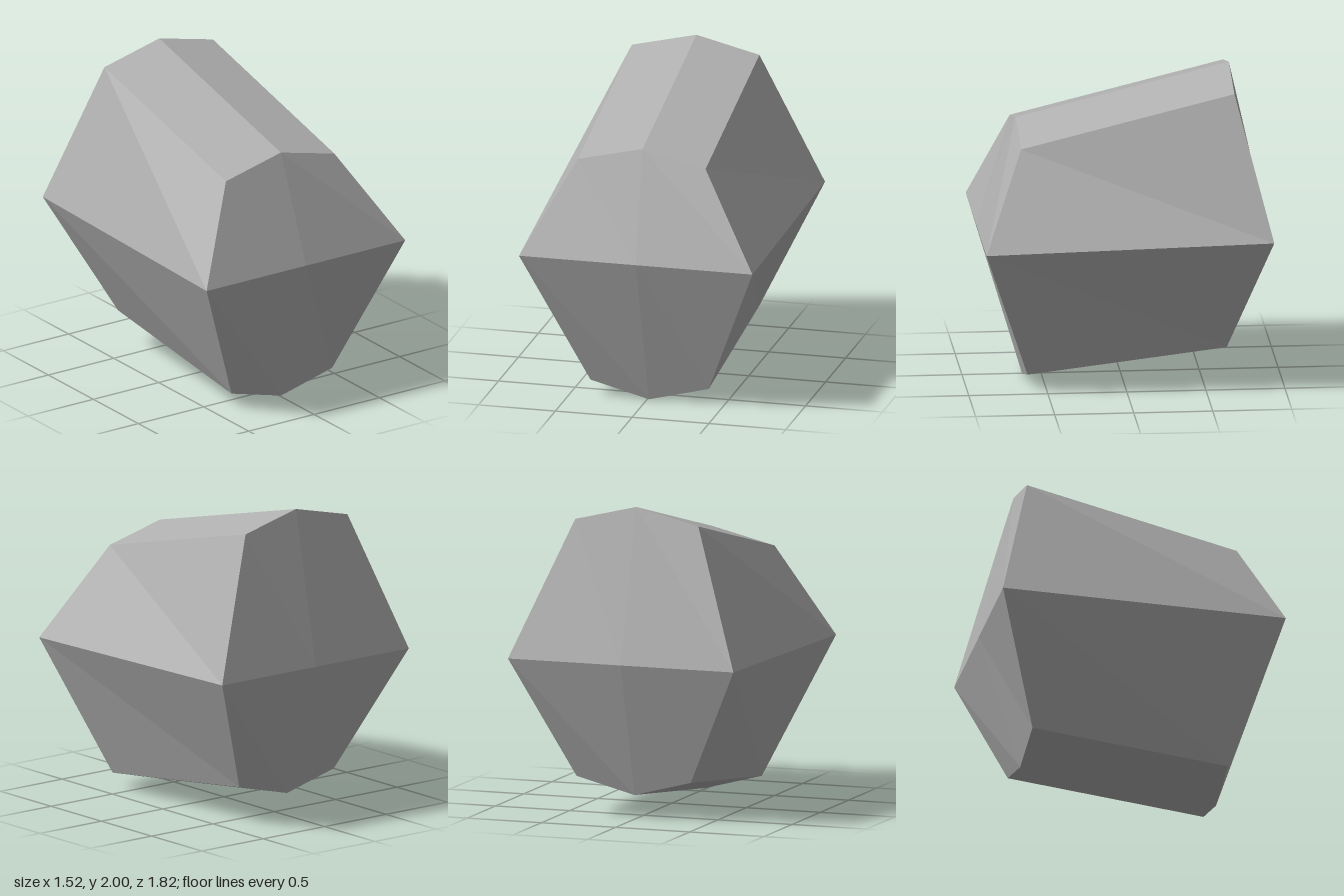
import * as THREE from 'three';

// One ring of six corners: front left to right, then back right to left
function ring(xs, frontYs, frontZ, backYs, backZ) {
  const front = xs.map((x, i) => [x, frontYs[i], frontZ]);
  const back = xs.map((x, i) => [x, backYs[i], backZ]);
  return [...front, ...back.reverse()];
}

export function createModel() {
  const model = new THREE.Group();
  model.name = 'rock';
  const stone = new THREE.MeshStandardMaterial({ color: 0xb0b0b0, flatShading: true });
  stone.name = 'grey stone';

  const top = ring([-0.44, -0.02, 0.39], [1.57, 1.67, 1.57], 0.66, [1.9, 2, 1.9], -0.69);
  const waist = ring([-0.76, 0, 0.76], [0.98, 0.98, 0.98], 0.91, [1.02, 1.02, 1.02], -0.91);
  const base = ring([-0.37, 0.01, 0.4], [0.1, 0, 0.1], 0.62, [0.25, 0.15, 0.25], -0.64);

  const points = [];
  // Quad seen from outside: upper left, lower left, lower right, upper right
  const quad = (ul, ll, lr, ur) => points.push(...ul, ...ll, ...lr, ...ul, ...lr, ...ur);

  // Sloping walls above and below the waist
  for (const [upper, lower] of [[top, waist], [waist, base]]) {
    for (let i = 0; i < 6; i++) {
      const j = (i + 1) % 6;
      quad(upper[i], lower[i], lower[j], upper[j]);
    }
  }
  // Two-plane ridges on the top and underside
  for (let i = 0; i < 2; i++) {
    quad(top[5 - i], top[i], top[i + 1], top[4 - i]);
    quad(base[i], base[5 - i], base[4 - i], base[i + 1]);
  }

  const geometry = new THREE.BufferGeometry();
  geometry.setAttribute('position', new THREE.Float32BufferAttribute(points, 3));
  geometry.computeVertexNormals();
  const body = new THREE.Mesh(geometry, stone);
  body.name = 'rockBody';
  model.add(body);
  return model;
}
